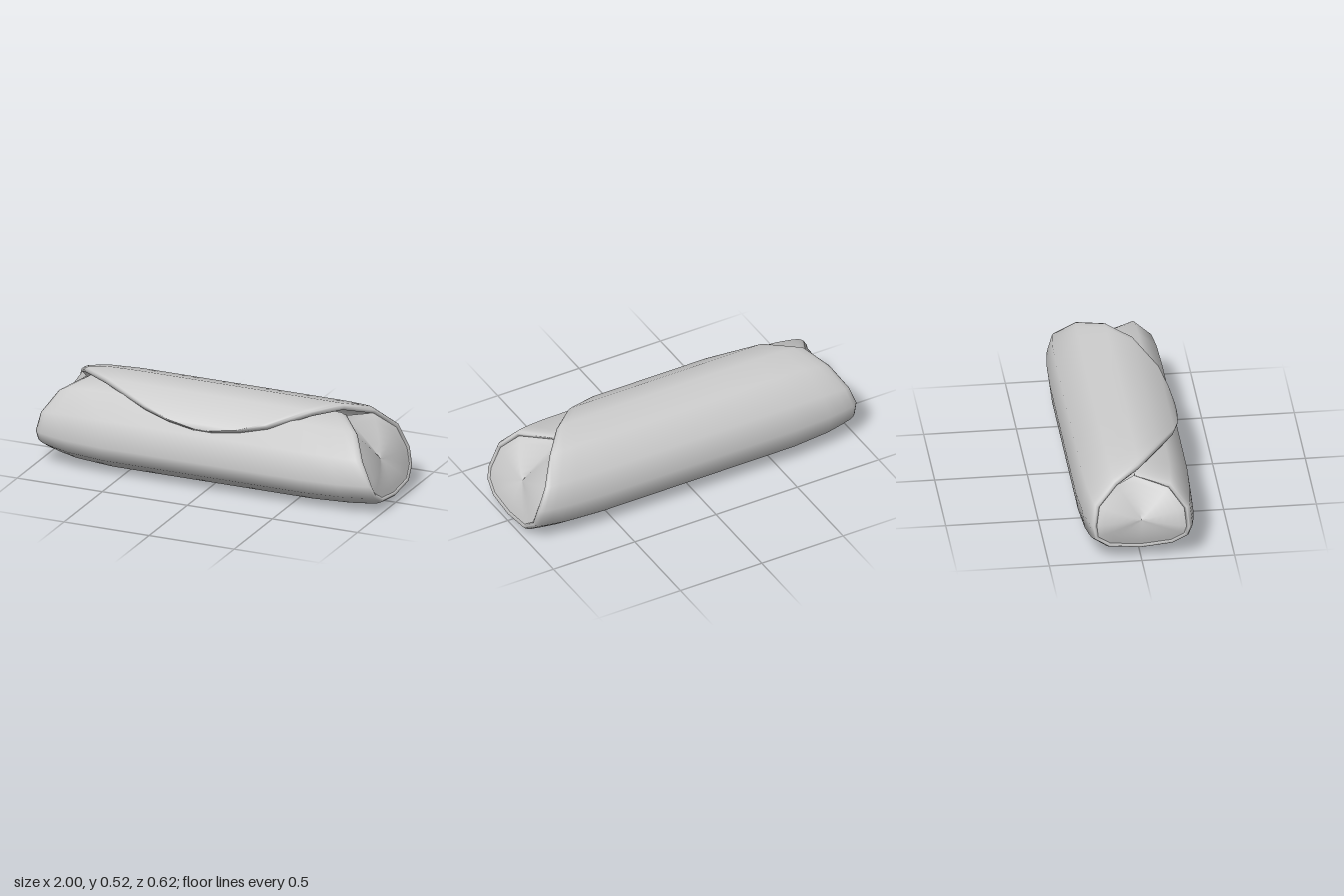
import * as THREE from 'three';

// Rolled sheet: [z, y, left end x, right end x] along the spiral, inner start to flap tip
const spiral = [
  [-0.02, 0.458, -0.82, 0.69], [0.18, 0.445, -0.90, 0.84], [0.292, 0.32, -0.965, 0.91],
  [0.312, 0.17, -0.99, 0.965], [0.287, 0.09, -0.985, 0.98], [0.19, 0.025, -0.97, 0.99],
  [0, 0, -0.96, 0.99], [-0.2, 0.025, -0.97, 0.99], [-0.297, 0.105, -0.985, 0.975],
  [-0.312, 0.22, -0.99, 0.955], [-0.28, 0.36, -0.955, 0.90], [-0.15, 0.475, -0.895, 0.81],
  [0, 0.52, -0.82, 0.69], [0.13, 0.50, -0.65, 0.56], [0.25, 0.425, -0.37, 0.35],
  [0.285, 0.385, -0.22, 0.2], [0.302, 0.362, -0.06, 0.04],
];
const MID_Y = 0.24;
const columns = [-1, -0.975, -0.92, -0.82, -0.6, -0.3, 0, 0.3, 0.6, 0.82, 0.92, 0.975, 1];

// Narrow the cross-section towards both ends
function taper(x, y, z) {
  const t = Math.max(0, (Math.abs(x) - 0.6) / 0.4) ** 2;
  const ky = x < 0 ? 0.28 : 0.12;
  return new THREE.Vector3(x, MID_Y + (y - MID_Y) * (1 - ky * t), z * (1 - 0.13 * t));
}

// Point of the sheet at spiral step i, f from -1 to 1 along it, at a depth below the outer face
function sheetPoint(i, f, depth, push = 0) {
  const [z, y, xl, xr] = spiral[i];
  const p = spiral[Math.max(0, i - 1)], n = spiral[Math.min(spiral.length - 1, i + 1)];
  const len = Math.hypot(n[0] - p[0], n[1] - p[1]);
  const nz = -(n[1] - p[1]) / len, ny = (n[0] - p[0]) / len;
  const x = (xl + xr) / 2 + f * (xr - xl) / 2 + push;
  return taper(x, y - ny * depth, z - nz * depth);
}

function makeMesh(name, points, index) {
  const geo = new THREE.BufferGeometry().setFromPoints(points);
  geo.setIndex(index);
  geo.computeVertexNormals();
  const mesh = new THREE.Mesh(geo,
    new THREE.MeshStandardMaterial({ color: 0xcccccc, side: THREE.DoubleSide }));
  mesh.name = name;
  return mesh;
}

// Thick sheet: one closed loop (outer face, rim, inner face, rim) per spiral step
function makeWrapper() {
  const points = [], index = [], steps = spiral.length;
  const n = columns.length, m = 2 * n + 2;
  for (let i = 0; i < steps; i++) {
    const thick = i === 0 ? 0.012 : 0.028;
    const rim = 0.01;
    for (const f of columns) points.push(sheetPoint(i, f, Math.abs(f) === 1 ? 0.008 : 0));
    points.push(sheetPoint(i, 1, thick * 0.65, rim));
    for (const f of [...columns].reverse()) points.push(sheetPoint(i, f, thick + (Math.abs(f) === 1 ? 0.008 : 0)));
    points.push(sheetPoint(i, -1, thick * 0.65, -rim));
  }
  for (let i = 0; i < steps - 1; i++) {
    for (let j = 0; j < m; j++) {
      const k = (j + 1) % m, a = i * m, b = a + m;
      index.push(a + j, b + j, b + k, a + j, b + k, a + k);
    }
  }
  // close the inner start and the flap tip
  for (const row of [0, steps - 1]) {
    for (let j = 0; j < n - 1; j++) {
      const o = row * m, a = o + j, b = o + j + 1, c = o + 2 * n - 1 - j, d = o + 2 * n - j;
      if (row === 0) index.push(a, b, c, a, c, d);
      else index.push(a, c, b, a, d, c);
    }
  }
  return makeMesh('wrapper', points, index);
}

// Slightly domed face that closes an end inside the rim
function makeEnd(name, side, bulge, centreX) {
  const points = [], index = [], sides = 12, rings = 6;
  const centre = new THREE.Vector3(centreX, 0.235, 0);
  for (let r = 0; r <= rings; r++) {
    const s = 1 - r / rings;
    for (let i = 0; i < sides; i++) {
      const p = sheetPoint(i, side, i === 0 ? 0.015 : 0.034).lerp(centre, 1 - s);
      p.x += side * bulge * (1 - s * s);
      points.push(p);
    }
  }
  for (let r = 0; r < rings; r++) {
    for (let i = 0; i < sides; i++) {
      const k = (i + 1) % sides, a = r * sides, b = a + sides;
      const quad = [a + i, a + k, b + k, a + i, b + k, b + i];
      index.push(...(side > 0 ? quad : quad.reverse()));
    }
  }
  return makeMesh(name, points, index);
}

export function createModel() {
  const group = new THREE.Group();
  group.name = 'rolledWrap';
  group.add(makeWrapper());
  group.add(makeEnd('leftEnd', 1, 0.04, 0.87));
  group.add(makeEnd('rightEnd', -1, 0.035, -0.94));
  return group;
}
